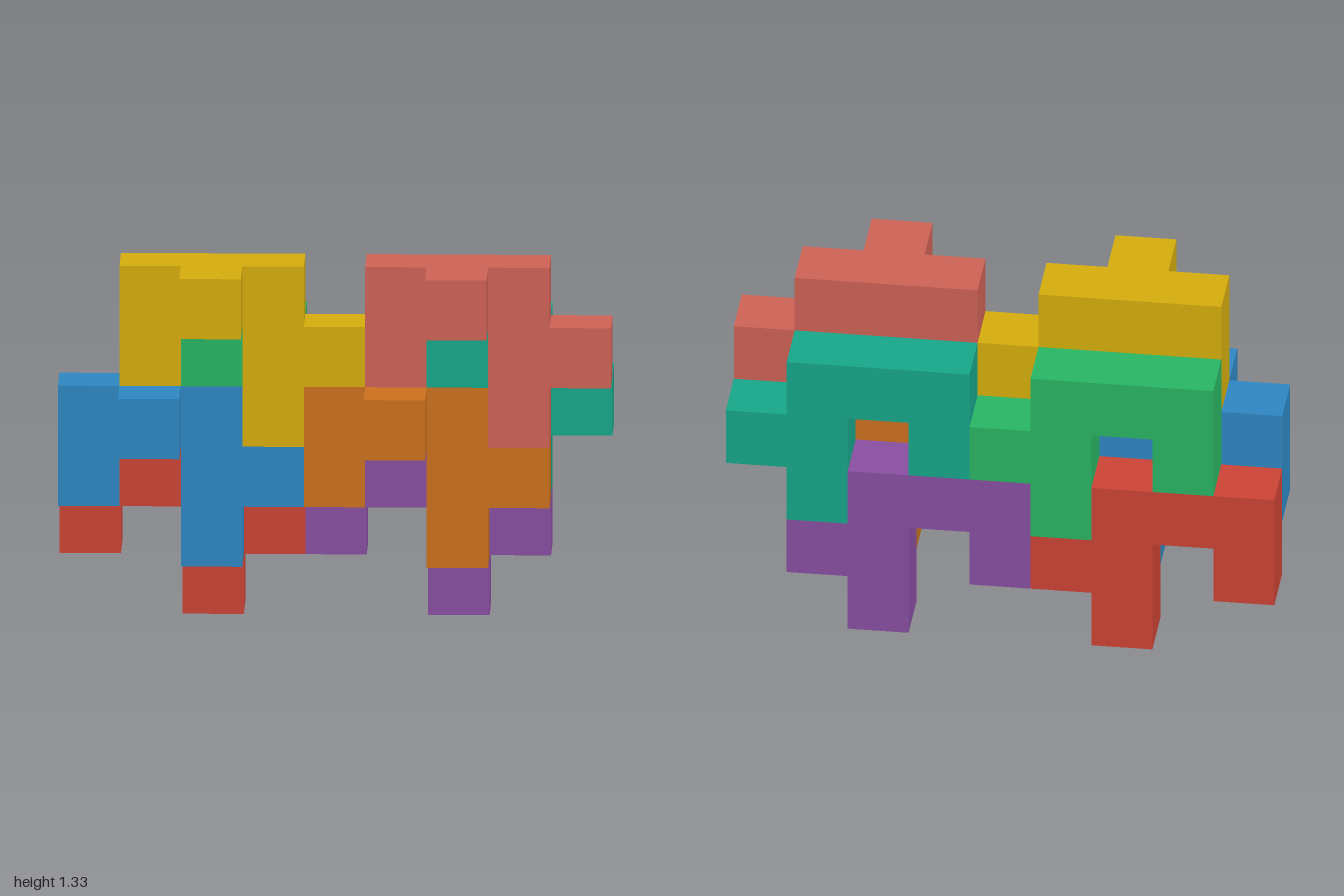
import * as THREE from 'three';

const U = 2 / 9; // edge of one cube cell

// Outline of one tile in cells, measured from its top left corner
const OUTLINE = [
  [0, 0], [0, -2], [1, -2], [1, -1], [2, -1], [2, -3],
  [3, -3], [3, -2], [4, -2], [4, -1], [3, -1], [3, 0],
];

// name, color, left column, top row, layer (0 = back, 1 = middle)
const TILES = [
  ['yellowTile', 0xd4ac0d, 1, 6, 1],
  ['salmonTile', 0xcd6155, 5, 6, 1],
  ['blueTile', 0x2e86c1, 0, 4, 1],
  ['orangeTile', 0xca6f1e, 4, 4, 1],
  ['greenTile', 0x28b463, 1, 5, 0],
  ['tealTile', 0x17a589, 5, 5, 0],
  ['redTile', 0xcb4335, 0, 3, 0],
  ['purpleTile', 0x884ea0, 4, 3, 0],
];

export function createModel() {
  const model = new THREE.Group();
  model.name = 'interlockingTiles';

  // Flat, one-cell-thick body
  const shape = new THREE.Shape(OUTLINE.map(([x, y]) => new THREE.Vector2(x * U, y * U)));
  const bodyGeometry = new THREE.ExtrudeGeometry(shape, { depth: U, bevelEnabled: false });

  // Single cube on the front, which fills the notch of the tile ahead
  const knobGeometry = new THREE.BoxGeometry(U, U, U).translate(1.5 * U, -0.5 * U, 1.5 * U);

  for (const [name, color, column, top, layer] of TILES) {
    const material = new THREE.MeshStandardMaterial({ color, flatShading: true });
    const tile = new THREE.Group();
    tile.name = name;
    const body = new THREE.Mesh(bodyGeometry, material);
    body.name = 'body';
    const knob = new THREE.Mesh(knobGeometry, material);
    knob.name = 'knob';
    tile.add(body, knob);
    tile.position.set(column * U - 1, top * U, (layer - 1.5) * U);
    model.add(tile);
  }
  return model;
}
